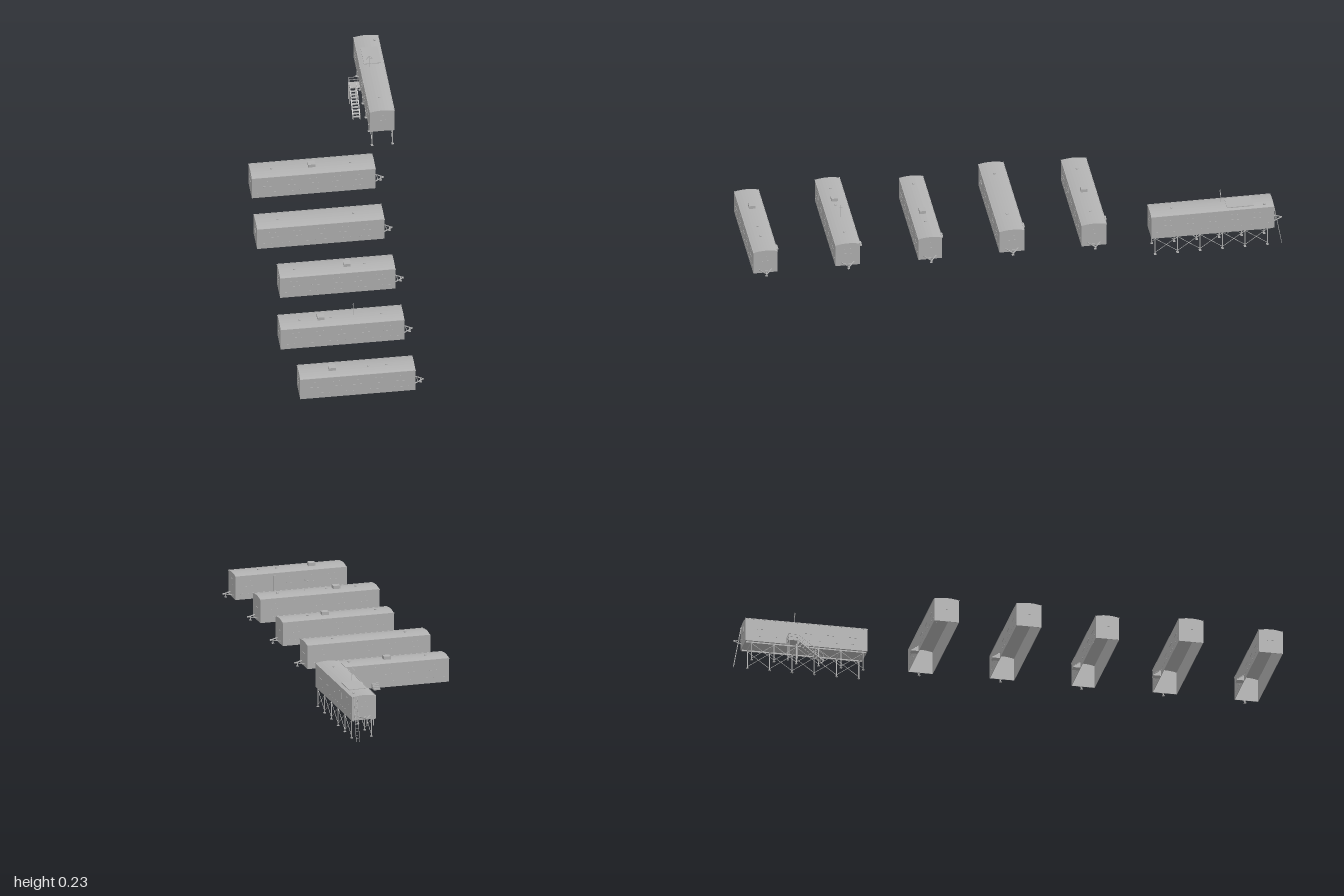
import * as THREE from 'three';

const grey = new THREE.MeshStandardMaterial({ color: 0xb2b2b2 });
grey.name = 'paintedGrey';

const EAVE = 0.091, RISE = 0.006;
const V = (x, y, z) => new THREE.Vector3(x, y, z);

function add(parent, name, geometry, x = 0, y = 0, z = 0) {
  const mesh = new THREE.Mesh(geometry, grey);
  mesh.name = name;
  mesh.position.set(x, y, z);
  parent.add(mesh);
  return mesh;
}

const box = (parent, name, w, h, d, x, y, z) => add(parent, name, new THREE.BoxGeometry(w, h, d), x, y, z);

// Square bar between two points
function bar(parent, name, a, b, t = 0.002) {
  const mesh = add(parent, name, new THREE.BoxGeometry(t, t, a.distanceTo(b)));
  mesh.position.addVectors(a, b).multiplyScalar(0.5);
  mesh.lookAt(b);
  return mesh;
}

// Shallow arch from one eave to the other
function archPoints(half, eave, rise, steps = 8) {
  const pts = [];
  for (let i = 0; i <= steps; i++) {
    const t = -1 + (2 * i) / steps;
    pts.push(new THREE.Vector2(half * t, eave + rise * (1 - t * t)));
  }
  return pts;
}

function extrudeAlongX(parent, name, points, length, x) {
  const geo = new THREE.ExtrudeGeometry(new THREE.Shape(points), { depth: length, bevelEnabled: false });
  geo.translate(0, 0, -length / 2).rotateY(Math.PI / 2);
  return add(parent, name, geo, x);
}

// Cabin along x, hitch at +x, door at -z, open underneath
function cabin(name, length, width, doorX) {
  const g = new THREE.Group();
  g.name = name;
  const half = width / 2, t = 0.0015, end = length / 2;
  const P = (x, y) => new THREE.Vector2(x, y);

  // Walls and roof in one thin section, then the two ends
  const outer = [P(-half, 0), ...archPoints(half, EAVE, RISE), P(half, 0)];
  const inner = [P(half - t, 0), ...archPoints(half - t, EAVE - t, RISE).reverse(), P(-half + t, 0)];
  extrudeAlongX(g, 'wallsAndRoof', [...outer, ...inner], length, 0);
  for (const s of [-1, 1]) extrudeAlongX(g, 'endWall', outer, t, s * (end - t / 2));

  // Eave trims, windows and skirting clips on both long sides
  for (const s of [-1, 1]) {
    box(g, 'eaveTrim', length + 0.002, 0.003, 0.002, 0, EAVE, s * half);
    for (let i = 0; i < 5; i++) {
      const x = (i - 2) * length * 0.185;
      if (s < 0 && Math.abs(x - doorX) < 0.035) continue;
      box(g, 'window', 0.034, 0.022, 0.001, x, 0.062, s * half);
      box(g, 'windowSill', 0.036, 0.002, 0.003, x, 0.05, s * half);
    }
    for (let i = 0; i < 14; i++) {
      box(g, 'skirtingClip', 0.009, 0.0015, 0.002, (i - 6.5) * length * 0.069, 0.022, s * half);
    }
    box(g, 'endWindow', 0.001, 0.02, 0.026, s * end, 0.062, 0);
    box(g, 'endWindowSill', 0.003, 0.002, 0.028, s * end, 0.051, 0);
  }
  box(g, 'door', 0.026, 0.062, 0.0015, doorX, 0.051, -half);

  // Towing frame
  const tip = V(end + 0.035, 0.014, 0);
  for (const s of [-1, 1]) bar(g, 'towBar', V(end, 0.014, s * 0.024), tip, 0.003);
  bar(g, 'towCrossBar', V(end + 0.012, 0.014, -0.016), V(end + 0.012, 0.014, 0.016));
  box(g, 'towCoupling', 0.006, 0.005, 0.005, end + 0.034, 0.014, 0);
  return g;
}

function vent(parent, x, z = 0) {
  add(parent, 'roofVent', new THREE.CylinderGeometry(0.005, 0.005, 0.004, 12), x, EAVE + RISE + 0.001, z);
}

// Cabin standing on the ground
function groundCabin({ x0, x1, z, width, step, unit, vents, pole }) {
  const mid = (x0 + x1) / 2, half = width / 2, end = (x1 - x0) / 2;
  const g = cabin('groundCabin', x1 - x0, width, step - mid);
  g.position.set(mid, 0, z);
  for (const v of vents) vent(g, v - mid);
  if (unit !== undefined) box(g, 'airConditioner', 0.027, 0.014, 0.024, unit - mid, 0.102, 0);

  // Entrance steps
  for (let i = 0; i < 4; i++) {
    const h = 0.021 - i * 0.005;
    box(g, 'entranceStep', 0.026, h, 0.007, step - mid, h / 2, -half - 0.0035 - i * 0.007);
  }
  // Tow jack with foot
  box(g, 'jackPost', 0.003, 0.016, 0.003, end + 0.025, 0.008, 0);
  box(g, 'jackFoot', 0.009, 0.002, 0.009, end + 0.025, 0.001, 0);

  // Roof aerial
  if (pole !== undefined) {
    box(g, 'aerialPole', 0.0012, 0.056, 0.0012, pole - mid, 0.123, -0.005);
    box(g, 'aerialBar', 0.0012, 0.0012, 0.02, pole - mid, 0.14, -0.005);
  }
  return g;
}

// Cabin raised on a braced steel frame, turned so its hitch points back
function raisedCabin() {
  const g = new THREE.Group();
  g.name = 'raisedCabin';
  const base = 0.076, cx = 0.2485, cz = -0.7335, left = 0.2115, right = 0.2895;
  const c = cabin('raisedCabinBody', 0.469, 0.093, 0.0605);
  c.rotation.y = Math.PI / 2;
  c.position.set(cx, base, cz);
  box(c, 'floor', 0.468, 0.002, 0.092, 0, 0.001, 0);
  vent(c, -0.15);
  vent(c, 0.2, 0.03);
  g.add(c);

  // Legs, beams and bracing
  const legZ = [0, 1, 2, 3, 4, 5].map(i => -0.514 - i * 0.0858);
  for (const x of [left, right]) {
    box(g, 'longBeam', 0.004, 0.005, 0.462, x, base - 0.0025, cz);
    legZ.forEach((z, i) => {
      box(g, 'leg', 0.0035, base, 0.0035, x, base / 2, z);
      box(g, 'legFoot', 0.009, 0.002, 0.009, x, 0.001, z);
      if (i === 5) return;
      bar(g, 'sideBrace', V(x, 0.008, z), V(x, 0.07, legZ[i + 1]), 0.0015);
      bar(g, 'sideBrace', V(x, 0.07, z), V(x, 0.008, legZ[i + 1]), 0.0015);
    });
  }
  for (const z of legZ) box(g, 'crossBeam', right - left, 0.004, 0.004, cx + 0.002, base - 0.003, z);

  // Landing and stairs
  const sx = [0.162, 0.188], topZ = -0.775, footZ = -0.677;
  box(g, 'landing', 0.042, 0.003, 0.036, 0.182, base, -0.793);
  for (const x of sx) {
    bar(g, 'stairStringer', V(x, 0.002, footZ), V(x, base, topZ), 0.003);
    bar(g, 'stairHandrail', V(x, 0.027, footZ), V(x, base + 0.025, topZ), 0.0015);
    for (let i = 0; i < 4; i++) {
      const t = i / 3, y = t * base, z = footZ + t * (topZ - footZ);
      bar(g, 'stairRailPost', V(x, y, z), V(x, y + 0.025, z), 0.0015);
    }
    for (const z of [-0.777, -0.809]) box(g, 'landingLeg', 0.003, base, 0.003, x, base / 2, z);
  }
  for (let i = 1; i < 10; i++) {
    box(g, 'stairTread', 0.026, 0.0015, 0.009, 0.175, i * 0.0076, footZ - i * 0.0098);
  }
  for (const h of [0.013, 0.025]) {
    bar(g, 'landingRail', V(0.162, base + h, topZ), V(0.162, base + h, -0.81), 0.0015);
    bar(g, 'landingRail', V(0.162, base + h, -0.81), V(0.2, base + h, -0.81), 0.0015);
  }
  for (const x of [0.162, 0.198]) bar(g, 'landingPost', V(x, base, -0.81), V(x, base + 0.025, -0.81), 0.0015);

  // Leaning ladder at the back
  const low = t => [0.168 * t, -0.998 + 0.03 * t];
  for (const x of [0.275, 0.288]) bar(g, 'ladderRail', V(x, 0, -0.998), V(x, 0.168, -0.968), 0.0015);
  for (let i = 1; i < 13; i++) {
    const [y, z] = low(i / 13);
    box(g, 'ladderRung', 0.013, 0.0013, 0.0013, 0.2815, y, z);
  }

  // Roof hatch platform
  box(g, 'roofPlatform', 0.065, 0.003, 0.1, 0.2505, 0.1735, -0.84);

  // Aerial mast with tapering cross bars
  box(g, 'mast', 0.002, 0.056, 0.002, 0.236, 0.198, -0.772);
  [0.025, 0.022, 0.016, 0.009].forEach((w, i) =>
    box(g, 'mastCrossBar', w, 0.0013, 0.0013, 0.236, 0.211 + i * 0.0043, -0.772));
  return g;
}

export function createModel() {
  const model = new THREE.Group();
  model.name = 'cabinCamp';
  const cabins = [
    { x0: -0.28, x1: 0.19, z: -0.298, width: 0.095, step: 0.013, unit: -0.0475, vents: [-0.2, 0.1] },
    { x0: -0.302, x1: 0.182, z: 0.014, width: 0.095, step: 0.01, vents: [-0.217, 0.07] },
    { x0: -0.256, x1: 0.182, z: 0.326, width: 0.09, step: 0.03, unit: 0.003, vents: [-0.197, 0.07] },
    { x0: -0.296, x1: 0.174, z: 0.639, width: 0.094, step: 0.037, unit: -0.138, vents: [-0.217, -0.1, 0.092], pole: -0.014 },
    { x0: -0.264, x1: 0.174, z: 0.953, width: 0.092, step: 0.011, unit: -0.138, vents: [0, 0.07] },
  ];
  for (const spec of cabins) model.add(groundCabin(spec));
  model.add(raisedCabin());
  return model;
}
